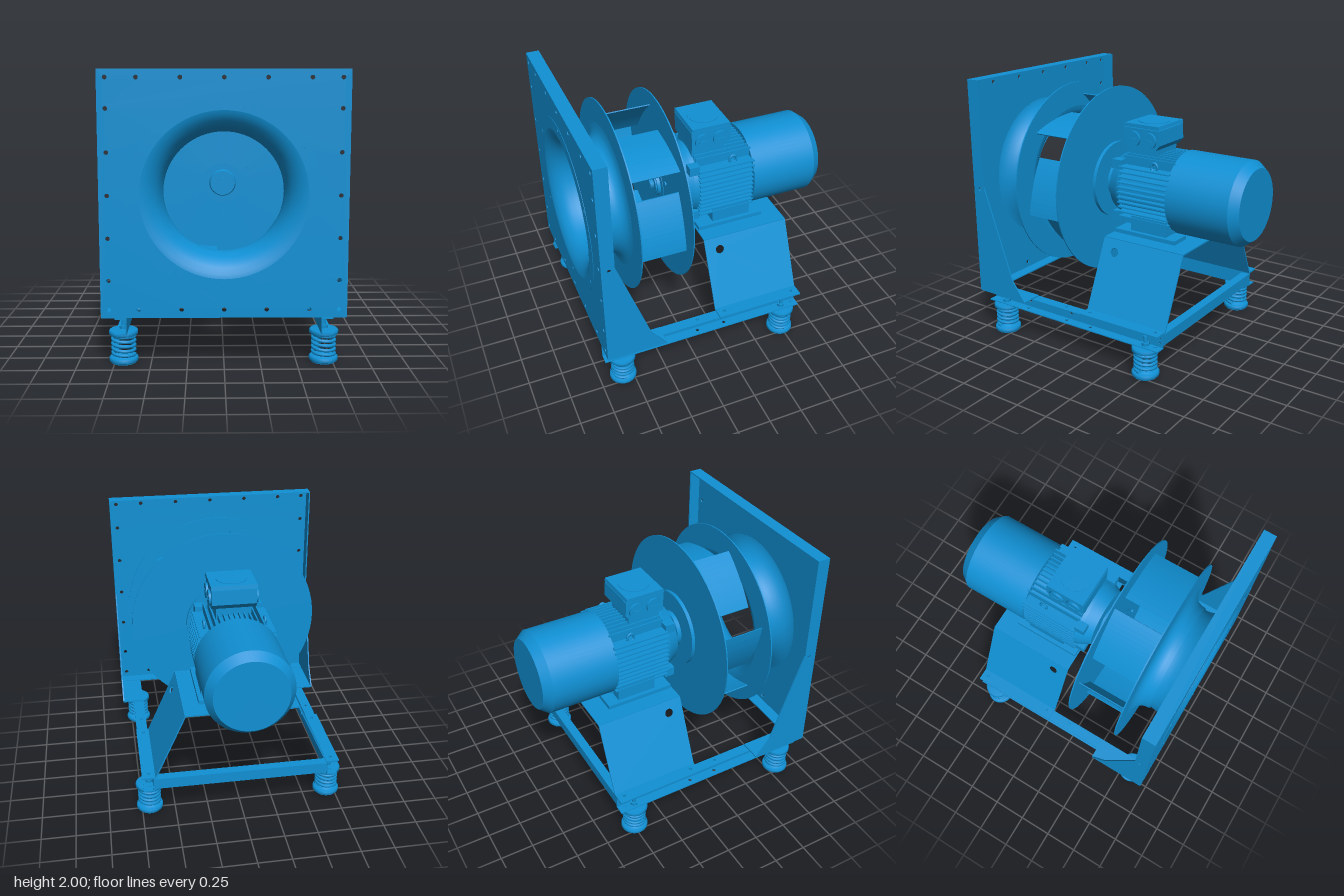
import * as THREE from 'three';

const AXIS = 1.175; // height of the rotation axis
const mat = new THREE.MeshStandardMaterial({ color: 0x1090d4, side: THREE.DoubleSide });

export function createModel() {
  const root = new THREE.Group();
  const add = (name, geo, x = 0, y = 0, z = 0, parent = root) => {
    const m = new THREE.Mesh(geo, mat);
    m.name = name;
    m.position.set(x, y, z);
    parent.add(m);
    return m;
  };
  const group = (name, y = 0) => {
    const g = new THREE.Group();
    g.name = name;
    g.position.y = y;
    root.add(g);
    return g;
  };
  // box given by its limits on each axis
  const box = (name, x0, x1, y0, y1, z0, z1, parent) =>
    add(name, new THREE.BoxGeometry(x1 - x0, y1 - y0, z1 - z0), (x0 + x1) / 2, (y0 + y1) / 2, (z0 + z1) / 2, parent);
  // lathe about the z axis from [radius, z] pairs; sharp keeps each band's edges crisp
  const turn = (name, pts, parent, sharp = true, seg = 64) => {
    const bands = sharp ? pts.slice(1).map((p, i) => [pts[i], p]) : [pts];
    for (const b of bands) {
      const g = new THREE.LatheGeometry(b.map(p => new THREE.Vector2(p[0], p[1])), seg);
      add(name, g.rotateX(Math.PI / 2), 0, 0, 0, parent);
    }
  };
  const disc = (name, r, z0, z1, parent, x = 0, y = 0, seg = 48) =>
    add(name, new THREE.CylinderGeometry(r, r, z1 - z0, seg).rotateX(Math.PI / 2), x, y, (z0 + z1) / 2, parent);
  const poly = pts => new THREE.Shape(pts.map(p => new THREE.Vector2(p[0], p[1])));
  const punch = (shape, x, y, r, seg) => shape.holes.push(new THREE.Path().absarc(x, y, r, 0, Math.PI * 2, true));
  const extrude = (shape, depth, seg = 12) =>
    new THREE.ExtrudeGeometry(shape, { depth, bevelEnabled: false, curveSegments: seg });

  // ---- inlet wall with bolt holes
  const wall = group('inletWall');
  const W = 0.825;
  const face = poly([[-W, 0.35], [W, 0.35], [W, 2], [-W, 2]]);
  punch(face, 0, AXIS, 0.57);
  for (const s of [-0.77, 0.77]) {
    for (const t of [-0.77, -0.57, -0.285, 0, 0.285, 0.57, 0.77]) {
      punch(face, t, AXIS + s, 0.015);
      if (Math.abs(t) < 0.7) punch(face, s, AXIS + t, 0.015);
    }
  }
  add('wallPlate', extrude(face, 0.01, 32), 0, 0, 0.957, wall);
  box('topFlange', -W, W, 1.99, 2, 0.87, 0.96, wall);
  box('bottomFlange', -W, W, 0.35, 0.36, 0.87, 0.96, wall);

  // side flanges widening into gussets, with feet on the rails
  const gusset = poly([[0.962, 0.35], [0.962, 2], [0.87, 2], [0.87, 1.2], [0.63, 0.5], [0.515, 0.35]]);
  punch(gusset, 0.91, 1.18, 0.014);
  for (const s of [-1, 1]) {
    add('sideGusset', extrude(gusset, 0.01).rotateY(-Math.PI / 2), s > 0 ? W : -W + 0.01, 0, 0, wall);
    box('gussetFoot', s * 0.742 - 0.08, s * 0.742 + 0.08, 0.346, 0.356, 0.515, 0.96, wall);
  }

  // ---- inlet nozzle
  const nozzle = group('inletNozzle', AXIS);
  turn('nozzleFlange', [[0.65, 0.966], [0.65, 0.97], [0.56, 0.97]], nozzle);
  turn('nozzleCone', [[0.56, 0.97], [0.53, 0.963], [0.49, 0.94], [0.455, 0.905], [0.432, 0.865], [0.415, 0.81],
    [0.41, 0.77], [0.412, 0.73], [0.42, 0.7]], nozzle, false, 72);
  for (let i = 0; i < 6; i++) {
    const a = Math.PI / 2 + i * Math.PI / 3;
    disc('nozzleBolt', 0.014, 0.96, 0.973, nozzle, 0.62 * Math.cos(a), 0.62 * Math.sin(a), 12);
  }

  // ---- impeller: flared shroud, back plate, six backward-leaning blades
  const impeller = group('impeller', AXIS);
  turn('shroudFlare', [[0.422, 0.76], [0.426, 0.72], [0.44, 0.69], [0.465, 0.665], [0.5, 0.651], [0.54, 0.646]], impeller, false, 72);
  turn('shroudRing', [[0.54, 0.646], [0.72, 0.646], [0.72, 0.637], [0.53, 0.637]], impeller);
  disc('backPlate', 0.72, 0.255, 0.264, impeller, 0, 0, 72);
  const onCircle = (r, deg) => new THREE.Vector2(r * Math.cos(deg * Math.PI / 180), r * Math.sin(deg * Math.PI / 180));
  for (let i = 0; i < 6; i++) {
    const d = 100 + i * 60;
    const outer = onCircle(0.625, d), inner = onCircle(0.49, d + 44.6);
    const mid = outer.clone().add(inner).multiplyScalar(0.5);
    const lift = mid.clone().normalize();
    const blade = new THREE.Shape().moveTo(outer.x, outer.y);
    const c1 = mid.clone().addScaledVector(lift, 0.045), c2 = mid.clone().addScaledVector(lift, 0.028);
    blade.quadraticCurveTo(c1.x, c1.y, inner.x, inner.y);
    blade.lineTo(inner.x - lift.x * 0.008, inner.y - lift.y * 0.008);
    blade.quadraticCurveTo(c2.x, c2.y, outer.x - lift.x * 0.008, outer.y - lift.y * 0.008);
    add('blade', extrude(blade, 0.38), 0, 0, 0.26, impeller);
    const b = onCircle(0.22, 90 + i * 60);
    disc('hubBolt', 0.017, 0.24, 0.275, impeller, b.x, b.y, 12);
  }
  disc('hubDisc', 0.295, 0.228, 0.255, impeller);
  disc('hubFlange', 0.14, 0.195, 0.23, impeller);
  disc('hubFront', 0.145, 0.26, 0.268, impeller);
  turn('hubBoss', [[0.1, 0.26], [0.09, 0.29], [0.075, 0.29], [0.075, 0.3], [0, 0.3]], impeller);
  disc('hubNut', 0.045, 0.3, 0.33, impeller, 0, 0, 6);
  disc('shaft', 0.042, 0.12, 0.26, impeller, 0, 0, 24);

  // ---- motor
  const motor = group('motor', AXIS);
  turn('endBell', [[0, 0.155], [0.1, 0.155], [0.1, 0.145], [0.225, 0.145], [0.27, 0.06], [0.28, 0.03], [0.265, 0.03]], motor);
  turn('motorBody', [[0.265, 0.04], [0.262, -0.42]], motor);
  turn('fanCowl', [[0.26, -0.4], [0.315, -0.4], [0.315, -0.905], [0.265, -0.97], [0, -0.97]], motor);
  // cooling fins, level on the flanks and upright above and below
  for (let i = -5; i <= 5; i++) {
    const t = i * 0.038, h = Math.sqrt(0.3 * 0.3 - t * t * 0.35);
    for (const s of [-1, 1]) {
      box('sideFin', s * (h + 0.18) / 2 - (h - 0.18) / 2, s * (h + 0.18) / 2 + (h - 0.18) / 2, t - 0.005, t + 0.005, -0.41, 0.03, motor);
      const v = h - 0.015;
      box('uprightFin', t - 0.005, t + 0.005, s * (v + 0.16) / 2 - (v - 0.16) / 2, s * (v + 0.16) / 2 + (v - 0.16) / 2, -0.41, 0.03, motor);
    }
  }
  for (const sx of [-1, 1]) {
    for (const sy of [-1, 1]) box('bellLug', sx * 0.22 - 0.035, sx * 0.22 + 0.035, sy * 0.2 - 0.035, sy * 0.2 + 0.035, 0.02, 0.1, motor);
    // feet
    box('motorFootPlate', sx * 0.22 - 0.08, sx * 0.22 + 0.08, -0.315, -0.285, -0.48, 0.045, motor);
    box('motorFootLeg', sx * 0.2 - 0.07, sx * 0.2 + 0.07, -0.29, -0.17, -0.385, -0.08, motor);
    const eye = add('liftingEye', new THREE.TorusGeometry(0.026, 0.009, 8, 20).rotateY(Math.PI / 2), sx * 0.225, 0.215, -0.255, motor);
    eye.scale.y = 1.2;
  }

  // terminal box with lid and cable entries
  box('terminalNeck', -0.13, 0.13, 0.22, 0.33, -0.22, 0.035, motor);
  const caseSide = poly([[0.045, 0.32], [0.05, 0.47], [-0.255, 0.47], [-0.26, 0.36], [-0.225, 0.32]]);
  add('terminalBox', extrude(caseSide, 0.33).rotateY(-Math.PI / 2), 0.165, 0, 0, motor);
  const lid = poly([[0.05, 0.475], [0.045, 0.502], [-0.25, 0.502], [-0.255, 0.475]]);
  add('terminalLid', extrude(lid, 0.34).rotateY(-Math.PI / 2), 0.17, 0, 0, motor);
  add('lidDisc', new THREE.CylinderGeometry(0.115, 0.115, 0.006, 40), 0, 0.503, -0.105, motor);
  for (const s of [-1, 1]) for (const z of [-0.035, -0.175]) {
    add('cableEntry', new THREE.CylinderGeometry(0.058, 0.058, 0.02, 28).rotateZ(Math.PI / 2), s * 0.172, 0.39, z, motor);
    box('entrySlot', s * 0.183 - 0.004, s * 0.183 + 0.004, 0.385, 0.395, z - 0.03, z + 0.03, motor);
  }

  // ---- folded sheet saddle under the motor
  const saddle = group('motorSaddle');
  const T = 0.01;
  box('saddleTop', -0.42, 0.42, 0.85, 0.86, -0.625, 0.055, saddle);
  const slopeLen = Math.hypot(0.23, 0.505);
  for (const s of [-1, 1]) {
    const slope = poly([[-0.625, 0], [0.055, 0], [0.055, slopeLen], [-0.625, slopeLen]]);
    punch(slope, -0.06, slopeLen * 0.825, 0.033);
    const m = add('saddleSide', extrude(slope, T).rotateY(-Math.PI / 2), s * 0.65 + (s > 0 ? 0 : T), 0.35, 0, saddle);
    m.rotation.z = s * Math.atan2(0.23, 0.505);
    const foot = poly([[0.645, -0.055], [0.745, -0.055], [0.745, 0.625], [0.645, 0.625]]);
    for (const z of [0, 0.57]) punch(foot, 0.69, z, 0.013);
    const f = add('saddleFoot', extrude(foot, T).rotateX(-Math.PI / 2), 0, 0.347, 0, saddle);
    if (s < 0) f.scale.x = -1;
  }

  // ---- base rails: channels open to the outside, joined by a rear cross bar
  const frame = group('baseFrame');
  const web = poly([[0.965, 0.23], [0.965, 0.345], [-0.62, 0.345], [-0.62, 0.23]]);
  for (const z of [0.6, 0.2]) punch(web, z, 0.287, 0.014);
  for (const y of [0.27, 0.305]) punch(web, -0.59, y, 0.007);
  const flange = poly([[0.655, -0.965], [0.735, -0.965], [0.735, 0.62], [0.655, 0.62]]);
  for (const z of [-0.6, -0.22, 0, 0.57]) punch(flange, 0.69, z, 0.013);
  for (const s of [-1, 1]) {
    add('railWeb', extrude(web, 0.008).rotateY(-Math.PI / 2), s * 0.659 + 0.004, 0, 0, frame);
    for (const y of [0.23, 0.338]) {
      const m = add('railFlange', extrude(flange, 0.008).rotateX(-Math.PI / 2), 0, y, 0, frame);
      m.scale.x = s;
    }
  }
  box('crossBarWeb', -0.655, 0.655, 0.25, 0.335, -0.618, -0.61, frame);
  box('crossBarFlange', -0.655, 0.655, 0.327, 0.335, -0.612, -0.55, frame);

  // ---- spring mounts
  class Helix extends THREE.Curve {
    getPoint(t, out = new THREE.Vector3()) {
      const a = t * Math.PI * 2 * 4.5;
      return out.set(0.076 * Math.cos(a), 0.05 + 0.145 * t, 0.076 * Math.sin(a));
    }
  }
  const coil = new THREE.TubeGeometry(new Helix(), 130, 0.012, 8);
  const cup = [[0, 0], [0.092, 0], [0.1, 0.008], [0.1, 0.03], [0.09, 0.036], [0.06, 0.036], [0.055, 0.055], [0, 0.055]]
    .map(p => new THREE.Vector2(p[0], p[1]));
  for (const x of [-0.69, 0.69]) for (const z of [0.825, -0.49]) {
    const mount = group('springMount');
    mount.position.set(x, 0, z);
    add('coilSpring', coil, 0, 0.005, 0, mount);
    add('lowerCup', new THREE.LatheGeometry(cup, 32), 0, 0.006, 0, mount);
    add('upperCup', new THREE.LatheGeometry(cup, 32), 0, 0.232, 0, mount).rotation.x = Math.PI;
    add('basePad', new THREE.CylinderGeometry(0.088, 0.088, 0.008, 32), 0, 0.004, 0, mount);
    add('mountNut', new THREE.CylinderGeometry(0.03, 0.03, 0.022, 6), 0, 0.248, 0, mount);
    add('mountStud', new THREE.CylinderGeometry(0.014, 0.014, 0.09, 16), 0, 0.265, 0, mount);
  }
  return root;
}
